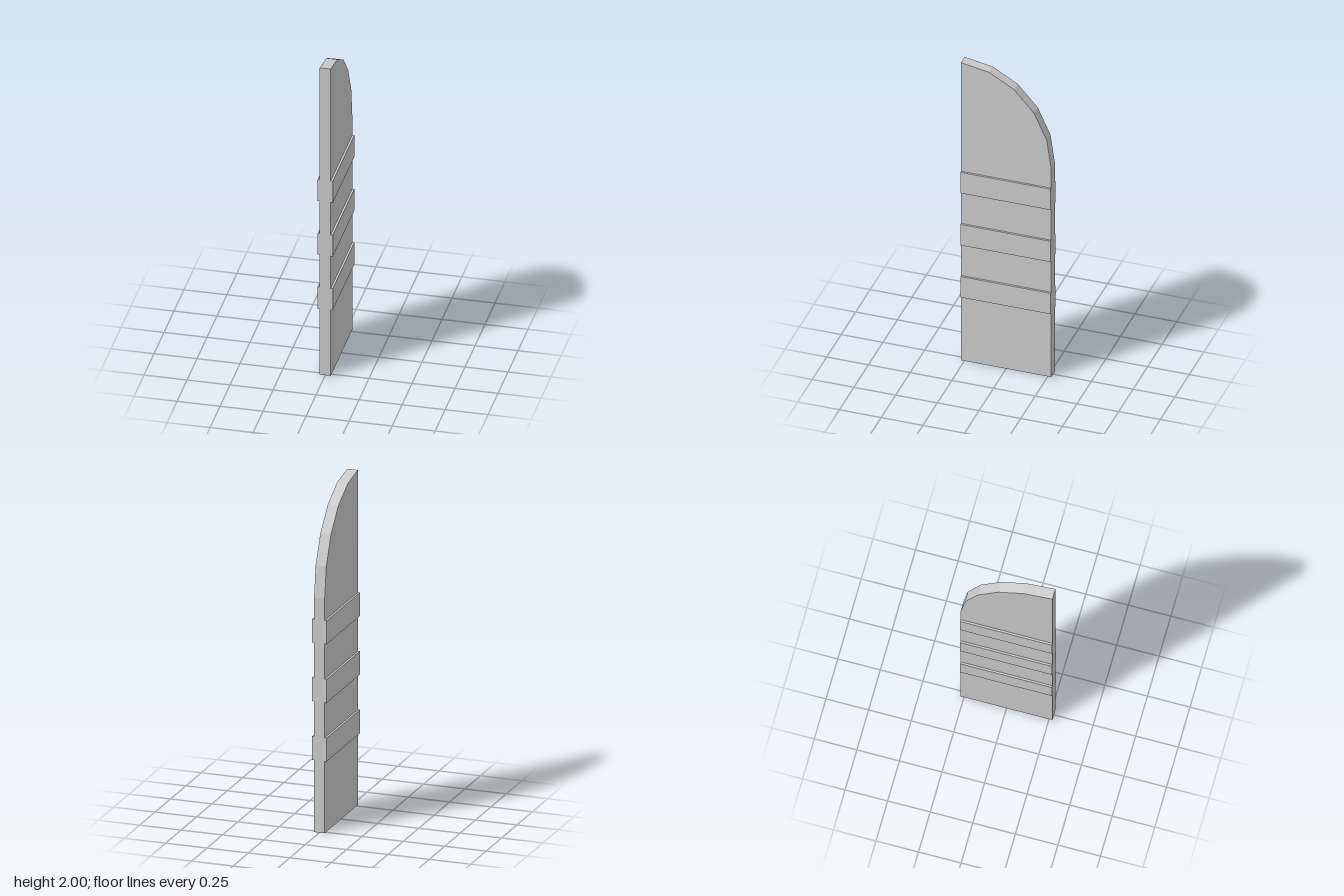
import * as THREE from 'three';

export function createModel() {
  const group = new THREE.Group();
  const grey = new THREE.MeshStandardMaterial({ color: 0xcccccc });
  grey.name = 'light grey';

  const half = 0.27, thickness = 0.064, shoulder = 1.4, rise = 0.6, steps = 5;

  // Upright slab: straight front edge, faceted quarter-ellipse at the top back
  const shape = new THREE.Shape();
  shape.moveTo(-half, 0);
  shape.lineTo(half, 0);
  for (let i = 0; i <= steps; i++) {
    const a = (i / steps) * Math.PI / 2;
    shape.lineTo(half - 2 * half * Math.sin(a), shoulder + rise * Math.cos(a));
  }
  shape.closePath();
  const slabGeometry = new THREE.ExtrudeGeometry(shape, { depth: thickness, bevelEnabled: false });
  slabGeometry.translate(0, 0, -thickness / 2);
  slabGeometry.rotateY(-Math.PI / 2); // profile runs along z
  const slab = new THREE.Mesh(slabGeometry, grey);
  slab.name = 'slab';
  group.add(slab);

  // Three raised bands wrapping both sides
  const bandGeometry = new THREE.BoxGeometry(0.088, 0.14, 2 * half);
  [0.5, 0.85, 1.2].forEach((y, i) => {
    const band = new THREE.Mesh(bandGeometry, grey);
    band.name = `band${i + 1}`;
    band.position.y = y;
    group.add(band);
  });

  return group;
}
